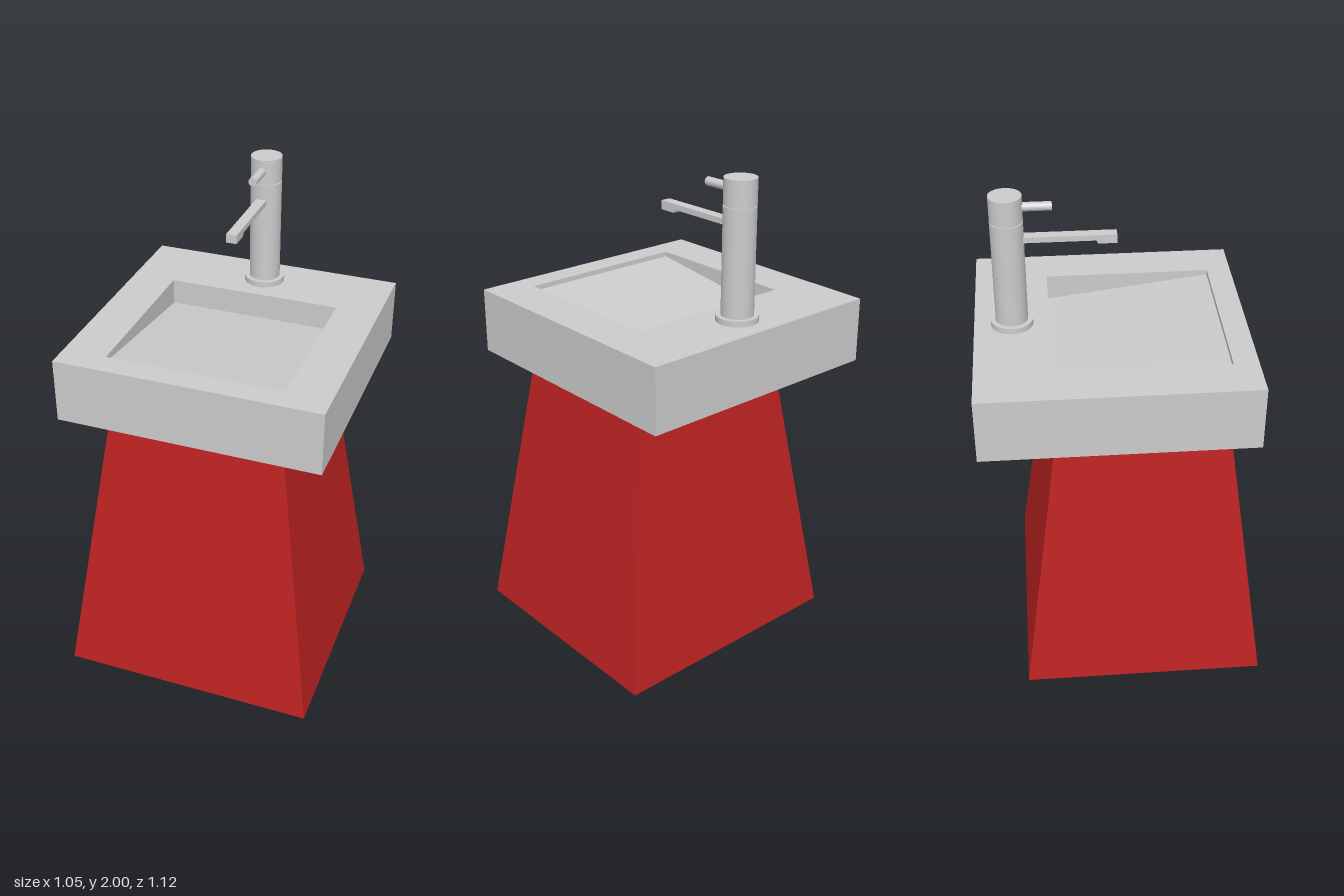
import * as THREE from 'three';

const grey = new THREE.MeshStandardMaterial({ color: 0xcccccc });
const red = new THREE.MeshStandardMaterial({ color: 0xbb2222 });

function rectPath(PathType, x0, x1, y0, y1) {
  const p = new PathType();
  p.moveTo(x0, y0).lineTo(x1, y0).lineTo(x1, y1).lineTo(x0, y1).closePath();
  return p;
}

export function createModel() {
  const group = new THREE.Group();
  const add = (name, geometry, material = grey, x = 0, y = 0, z = 0) => {
    const mesh = new THREE.Mesh(geometry, material);
    mesh.name = name;
    mesh.position.set(x, y, z);
    group.add(mesh);
    return mesh;
  };

  // Tapered pedestal: a box whose upper corners are drawn inward
  const pedestal = new THREE.BoxGeometry(1.046, 1.2, 0.985);
  const pos = pedestal.attributes.position;
  for (let i = 0; i < pos.count; i++) {
    if (pos.getY(i) > 0) {
      pos.setX(i, Math.sign(pos.getX(i)) * 0.351);
      pos.setZ(i, Math.sign(pos.getZ(i)) * 0.331);
    }
  }
  pedestal.computeVertexNormals();
  add('pedestal', pedestal, red, 0, 0.6, 0.068);

  // Basin block with a rectangular opening (shape y is -z)
  const rim = rectPath(THREE.Shape, -0.527, 0.527, -0.495, 0.56);
  rim.holes.push(rectPath(THREE.Path, -0.352, 0.352, -0.398, 0.268));
  const rimGeo = new THREE.ExtrudeGeometry(rim, { depth: 0.26, bevelEnabled: false });
  rimGeo.rotateX(-Math.PI / 2);
  add('basinRim', rimGeo, grey, 0, 1.2, 0);

  // Sloping basin floor, shallow at the front and deep at the back
  const wedge = new THREE.Shape();
  wedge.moveTo(-0.398, 1.2).lineTo(0.268, 1.2).lineTo(0.268, 1.355).lineTo(-0.398, 1.44).closePath();
  const wedgeGeo = new THREE.ExtrudeGeometry(wedge, { depth: 0.704, bevelEnabled: false });
  wedgeGeo.rotateY(Math.PI / 2);
  add('basinFloor', wedgeGeo, grey, -0.352, 0, 0);

  // Upright tap parts: name, radius, bottom, top
  const tapZ = -0.413;
  [
    ['tapFlange', 0.082, 1.46, 1.483],
    ['tapBody', 0.0625, 1.46, 1.897],
    ['tapNeck', 0.057, 1.89, 1.91],
    ['tapHead', 0.0625, 1.902, 2.0],
  ].forEach(([name, r, y0, y1]) =>
    add(name, new THREE.CylinderGeometry(r, r, y1 - y0, 48), grey, 0, (y0 + y1) / 2, tapZ));

  // Flat spout with a downturned tip (shape x is -z)
  const spout = new THREE.Shape();
  spout.moveTo(0.005, 1.802).lineTo(-0.078 + 0.155, 1.802).lineTo(0.083, 1.815)
    .lineTo(0.37, 1.815).lineTo(0.37, 1.837).lineTo(0.005, 1.837).closePath();
  const spoutGeo = new THREE.ExtrudeGeometry(spout, { depth: 0.042, bevelEnabled: false });
  spoutGeo.rotateY(Math.PI / 2);
  add('spout', spoutGeo, grey, -0.021, 0, 0);

  // Round lever on the tap head
  const lever = new THREE.CylinderGeometry(0.017, 0.017, 0.135, 24);
  lever.rotateX(Math.PI / 2);
  add('lever', lever, grey, 0, 1.953, -0.3105);

  return group;
}
